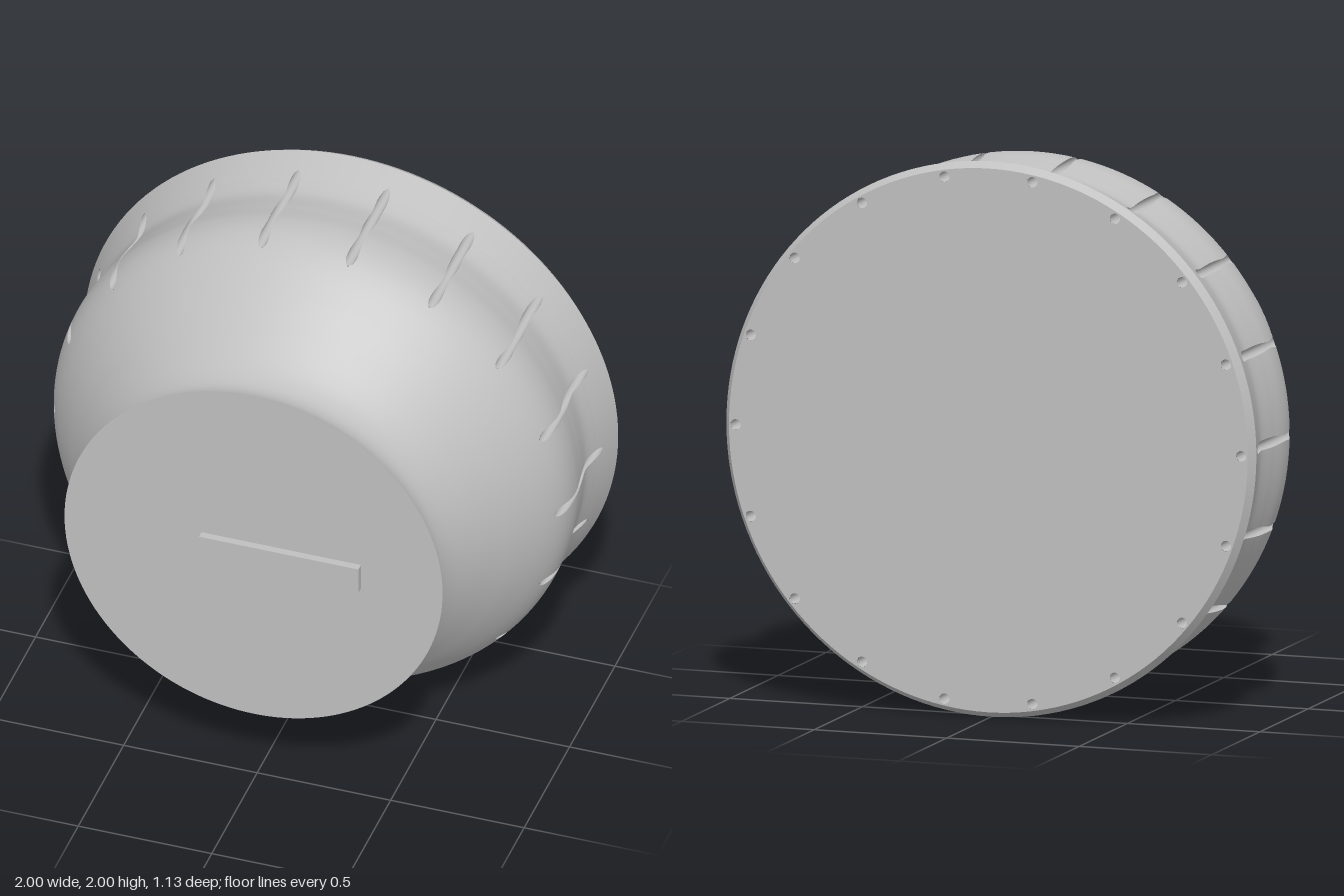
import * as THREE from 'three';

const HOLES = 18, STEP = (Math.PI * 2) / HOLES;
const HOLE_AT = 0.954, HOLE_R = 0.019; // bolt circle and bolt hole radius
const BACK_Z = -0.567, CAP_Z = 0.54, BACK_R = 0.979, CAP_R = 0.708;

// Grid surface from fn(row, col) -> { p, n }
function gridGeometry(rows, cols, fn, flip) {
  const pos = [], nor = [], idx = [];
  for (let i = 0; i <= rows; i++) {
    for (let j = 0; j <= cols; j++) {
      const { p, n } = fn(i, j);
      pos.push(...p);
      nor.push(...n);
      if (i === rows || j === cols) continue;
      const a = i * (cols + 1) + j, b = a + 1, c = a + cols + 1, d = c + 1;
      if (flip) idx.push(a, c, b, b, c, d);
      else idx.push(a, b, c, b, d, c);
    }
  }
  const g = new THREE.BufferGeometry();
  g.setAttribute('position', new THREE.Float32BufferAttribute(pos, 3));
  g.setAttribute('normal', new THREE.Float32BufferAttribute(nor, 3));
  g.setIndex(idx);
  return g;
}

// Angle on the bolt hole where it breaks through a wall of radius r (0 = fully enclosed)
function breakAngle(r) {
  const c = (r * r - HOLE_AT ** 2 - HOLE_R ** 2) / (2 * HOLE_AT * HOLE_R);
  return Math.acos(THREE.MathUtils.clamp(c, -1, 1));
}

// Profile rows { z, r, nr, nz } sampled along a curve of (z, r) points
function sampleProfile(curve, count) {
  return Array.from({ length: count + 1 }, (_, i) => {
    const p = curve.getPoint(i / count), t = curve.getTangent(i / count);
    return { z: p.x, r: p.y, nr: t.x, nz: -t.y };
  });
}

// Outer wall of one sector, between two neighbouring bolt holes
function wallGeometry(rows) {
  const cols = 8;
  return gridGeometry(rows.length - 1, cols, (i, j) => {
    const { z, r, nr, nz } = rows[i];
    const phi = breakAngle(r);
    const gap = Math.atan2(HOLE_R * Math.sin(phi), HOLE_AT + HOLE_R * Math.cos(phi));
    const a = gap + (STEP - 2 * gap) * (j / cols);
    const c = Math.cos(a), s = Math.sin(a);
    return { p: [r * c, r * s, z], n: [nr * c, nr * s, nz] };
  }, false);
}

// Bolt hole: a full tube in the flange, an open groove where it leaves the wall
function holeGeometry(rows) {
  const cols = 16;
  return gridGeometry(rows.length - 1, cols, (i, j) => {
    const phi = breakAngle(rows[i].r);
    const a = phi + (Math.PI * 2 - 2 * phi) * (j / cols);
    const c = Math.cos(a), s = Math.sin(a);
    return { p: [HOLE_AT + HOLE_R * c, HOLE_R * s, rows[i].z], n: [-c, -s, 0] };
  }, true);
}

export function createModel() {
  const model = new THREE.Group();
  model.name = 'flangedKnob';
  const grey = new THREE.MeshStandardMaterial({ color: 0xc0c0c0 });
  grey.name = 'plain grey';

  const add = (parent, geometry, name) => {
    const mesh = new THREE.Mesh(geometry, grey);
    mesh.name = name;
    parent.add(mesh);
    return mesh;
  };

  // Turned parts share an axis along z at y = 1
  const turned = new THREE.Group();
  turned.name = 'turnedBody';
  turned.position.y = 1;
  model.add(turned);

  const v = (z, r) => new THREE.Vector2(z, r);
  const sections = {
    flangeChamfer: sampleProfile(new THREE.LineCurve(v(BACK_Z, BACK_R), v(-0.536, 1)), 2),
    flangeCone: sampleProfile(new THREE.LineCurve(v(-0.536, 1), v(-0.41, 0.961)), 20),
    bowl: sampleProfile(new THREE.SplineCurve([
      v(-0.41, 0.961), v(-0.34, 0.947), v(-0.25, 0.958), v(-0.16, 0.969), v(-0.08, 0.959),
      v(0, 0.922), v(0.1, 0.852), v(0.2, 0.773), v(0.3, 0.7), v(0.37, 0.662),
      v(0.43, 0.65), v(0.49, 0.666), v(CAP_Z, CAP_R),
    ]), 96),
  };

  for (const [name, rows] of Object.entries(sections)) {
    const wall = wallGeometry(rows);
    // keep only the stretch where the hole cuts the wall
    const last = rows.findLastIndex((row) => row.r > HOLE_AT - HOLE_R);
    const hole = holeGeometry(rows.slice(0, last + 2));
    for (let k = 0; k < HOLES; k++) {
      add(turned, wall, name + 'Wall').rotation.z = k * STEP;
      add(turned, hole, name + 'BoltHole').rotation.z = k * STEP;
    }
  }

  // Flat back face pierced by the bolt holes
  const disc = new THREE.Shape().absarc(0, 0, BACK_R, 0, Math.PI * 2);
  for (let k = 0; k < HOLES; k++) {
    const x = HOLE_AT * Math.cos(k * STEP), y = HOLE_AT * Math.sin(k * STEP);
    disc.holes.push(new THREE.Path().absarc(x, y, HOLE_R, 0, Math.PI * 2, true));
  }
  const back = add(turned, new THREE.ShapeGeometry(disc, 72), 'backFace');
  back.rotation.y = Math.PI;
  back.position.z = BACK_Z;

  // Flat front face
  add(turned, new THREE.CircleGeometry(CAP_R, 144), 'frontFace').position.z = CAP_Z;

  // Off-centre raised pointer bar
  add(turned, new THREE.BoxGeometry(0.597, 0.104, 0.028), 'pointerBar')
    .position.set(0.104, 0.001, CAP_Z + 0.014);

  return model;
}
